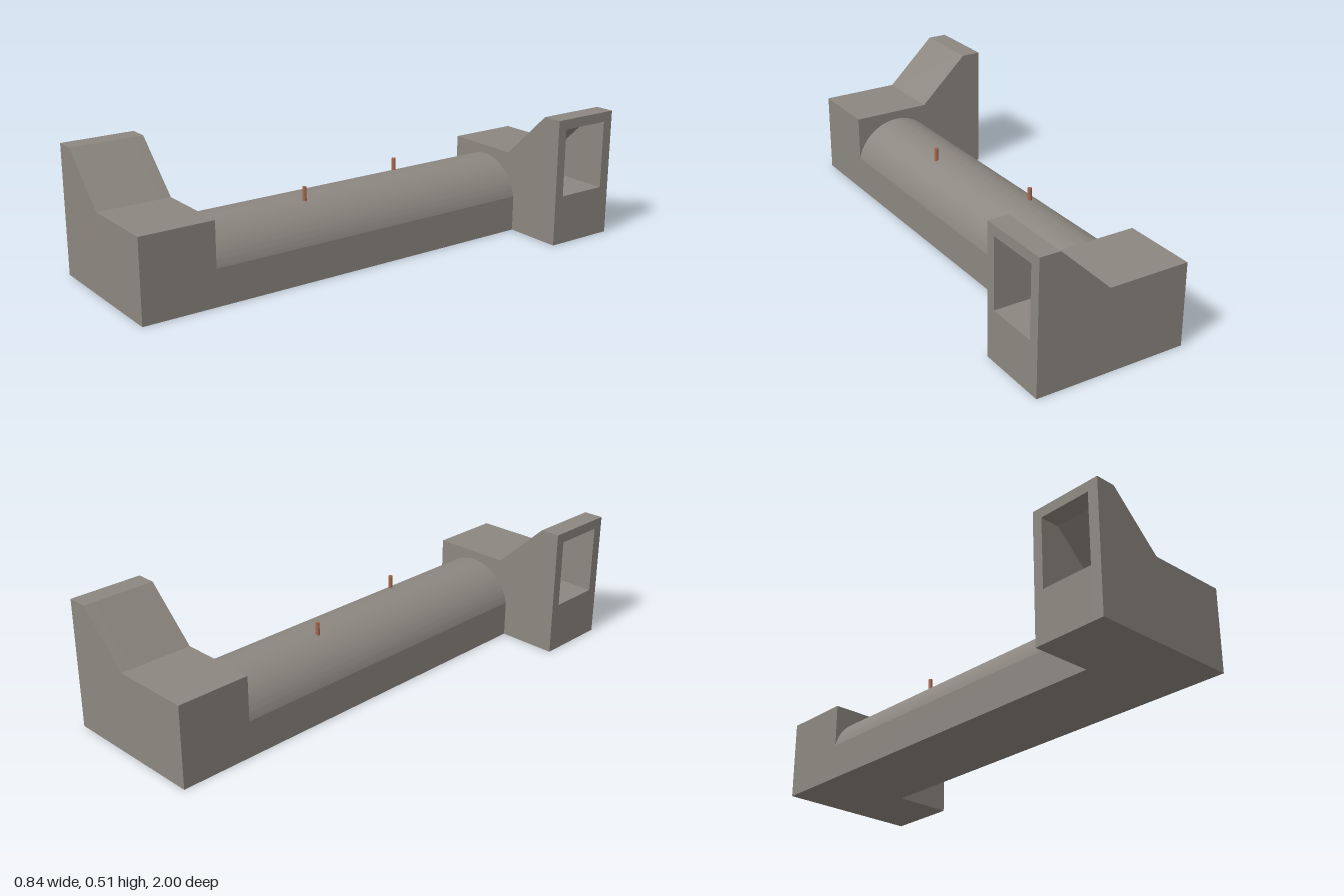
import * as THREE from 'three';
import { toCreasedNormals } from 'three/addons/utils/BufferGeometryUtils.js';

const stone = new THREE.MeshStandardMaterial({ color: 0x8c8780 });
stone.name = 'warm grey';
const copper = new THREE.MeshStandardMaterial({ color: 0xa8694c });
copper.name = 'copper';

function named(name, geometry, material) {
  const mesh = new THREE.Mesh(geometry, material);
  mesh.name = name;
  return mesh;
}

// Extrude an x-y outline from z0 to z1
function slab(shape, z0, z1, curveSegments = 1) {
  const g = new THREE.ExtrudeGeometry(shape, { depth: z1 - z0, bevelEnabled: false, curveSegments });
  return g.translate(0, 0, z0);
}

const outline = (points) => new THREE.Shape(points.map(([x, y]) => new THREE.Vector2(x, y)));

// End block: low deck, sloped rise to a tall outer end with a recess in its outer face
function endBlock(name) {
  const top = [[0.42, 0.515], [0.34, 0.515], [0.14, 0.325], [-0.18, 0.325], [-0.18, 0], [0.42, 0]];
  const recess = [[0.42, 0.2], [0.14, 0.2], [0.14, 0.285], [0.34, 0.475], [0.42, 0.475]];
  const solid = outline(top);
  const hollow = outline([...top, ...recess]);
  const block = new THREE.Group();
  block.name = name;
  block.add(
    named('backWall', slab(solid, -1, -0.957), stone),
    named('recessedCore', slab(hollow, -0.957, -0.745), stone),
    named('innerWall', slab(solid, -0.745, -0.705), stone)
  );
  return block;
}

// Long body: straight sides to the shoulder, then a round top
function body() {
  const half = 0.18, shoulder = 0.145, rise = 0.145;
  const r = (half * half + rise * rise) / (2 * rise);
  const cy = shoulder + rise - r;
  const a = Math.atan2(shoulder - cy, half);
  const s = new THREE.Shape();
  s.moveTo(-half, 0);
  s.lineTo(half, 0);
  s.lineTo(half, shoulder);
  s.absarc(0, cy, r, a, Math.PI - a, false);
  s.closePath();
  return named('roundedBody', toCreasedNormals(slab(s, -0.705, 0.705, 32), 0.16), stone);
}

export function createModel() {
  const model = new THREE.Group();
  model.name = 'bridgePiece';

  const back = endBlock('backBlock');
  const front = endBlock('frontBlock');
  front.rotation.y = Math.PI;
  model.add(body(), back, front);

  // Two small pins standing on the round top
  for (const [name, x, z] of [['frontPin', 0.06, 0.252], ['backPin', -0.05, -0.255]]) {
    const pin = named(name, new THREE.CylinderGeometry(0.008, 0.008, 0.055, 12), copper);
    pin.position.set(x, 0.3055, z);
    model.add(pin);
  }
  return model;
}
